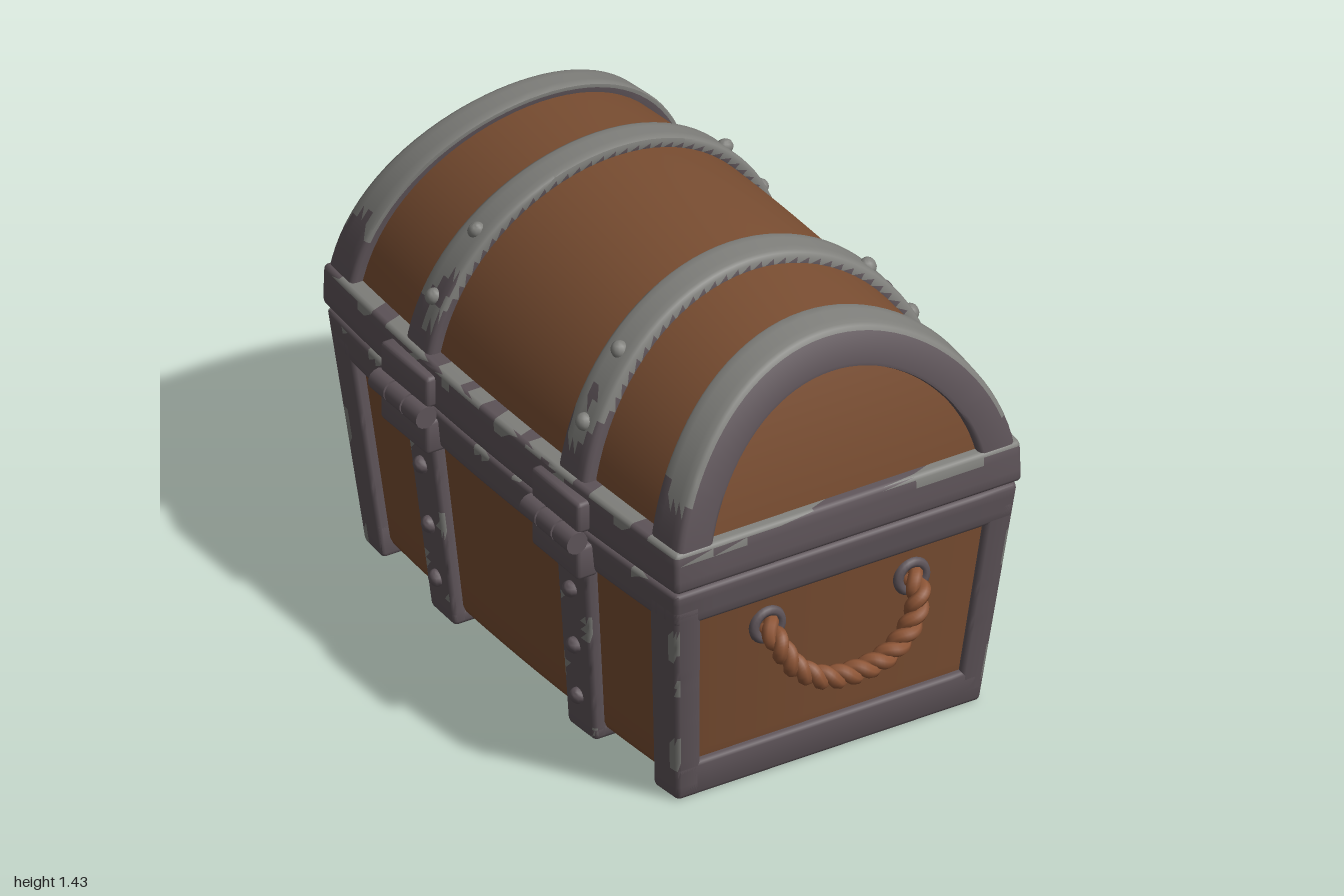
import * as THREE from 'three';
import { toCreasedNormals } from 'three/addons/utils/BufferGeometryUtils.js';

const mat = (name, color) => {
  const m = new THREE.MeshStandardMaterial({ color });
  m.name = name;
  return m;
};

const LID = 0.77, A = 0.62, B = 0.663, CX = -0.035;

// Barrel bulge along z, narrowing towards the bottom, ends leaning in at top and bottom
function warp(p) {
  const bulge = 1 - 0.07 * (p.z / 0.94) ** 2;
  const low = Math.max(0, (LID - p.y) / LID), high = Math.max(0, (p.y - LID) / 0.62);
  p.x = CX + p.x * bulge * (1 - 0.12 * low);
  p.z *= 1 - 0.106 * low - 0.122 * high * high;
  if (p.y > LID) p.y = LID + (p.y - LID) * bulge;
  return p;
}

function mapVertices(geo, fn) {
  const pos = geo.attributes.position, p = new THREE.Vector3();
  for (let i = 0; i < pos.count; i++) {
    fn(p.fromBufferAttribute(pos, i));
    pos.setXYZ(i, p.x, p.y, p.z);
  }
  return geo;
}

// Subdivided box with rounded edges
function bar(w, h, d, segs, r = 0.014) {
  const size = [w, h, d];
  return mapVertices(new THREE.BoxGeometry(w, h, d, ...segs), (p) => {
    const full = [], core = [];
    p.toArray().forEach((v, k) => {
      const n = segs[k], half = size[k] / 2, i = Math.round((v / size[k] + 0.5) * n);
      full[k] = i === 0 ? -half : i === n ? half : -(half - r) + (i - 1) / (n - 2) * (size[k] - 2 * r);
      core[k] = THREE.MathUtils.clamp(full[k], r - half, half - r);
    });
    const c = new THREE.Vector3(...core);
    p.set(...full).sub(c);
    if (p.length() > 0) p.setLength(r);
    p.add(c);
  });
}

// Bar bent over the lid
const arch = (thick, width) => mapVertices(bar(1.95, thick, width, [48, 3, 6], 0.016), (p) => {
  const t = Math.PI / 2 - p.x / 1.95 * Math.PI, inset = thick / 2 - p.y;
  p.x = (A - inset) * Math.cos(t);
  p.y = LID + (B - inset) * Math.sin(t);
});

const noise = (p) => Math.sin(p.z * 23 + p.y * 17 + p.x * 5) + Math.sin(p.z * 41 - p.y * 31 + p.x * 9);

export function createModel() {
  const wood = mat('wood', 0x7a4e32), metal = mat('dark metal', 0x5e5459);
  const worn = mat('worn metal', 0x80807c), rope = mat('rope', 0x8d5536), hole = mat('keyhole', 0x2f292c);
  const model = new THREE.Group();
  model.name = 'chest';

  function add(name, geo, material) {
    const m = new THREE.Mesh(geo, material);
    m.name = name;
    model.add(m);
    return m;
  }

  // Adds a part bent to the chest's form; isWorn picks the triangles of bare metal
  function part(name, geo, x, y, z, material, isWorn) {
    const g = geo.toNonIndexed();
    g.deleteAttribute('uv');
    g.translate(x, y, z);
    g.clearGroups();
    if (isWorn) {
      const pos = g.attributes.position, c = new THREE.Vector3(), v = new THREE.Vector3();
      let start = 0, last = -1;
      for (let i = 0; i < pos.count; i += 3) {
        c.set(0, 0, 0);
        for (let j = 0; j < 3; j++) c.add(v.fromBufferAttribute(pos, i + j));
        const k = isWorn(c.divideScalar(3)) ? 1 : 0;
        if (k !== last && last >= 0) { g.addGroup(start, i - start, last); start = i; }
        last = k;
      }
      g.addGroup(start, pos.count - start, last);
    }
    return add(name, toCreasedNormals(mapVertices(g, warp), 0.9), isWorn ? [material, worn] : material);
  }

  // Wooden box and rounded lid
  part('bodyWood', bar(1.16, 0.74, 1.81, [4, 10, 18], 0.03), 0, 0.4, 0, wood);
  const lid = mapVertices(new THREE.BoxGeometry(2, 1, 1.81, 4, 20, 20), (p) => {
    const t = (p.y + 0.5) * Math.PI / 2;
    p.x *= 0.58 * Math.cos(t);
    p.y = LID + 0.63 * Math.sin(t);
  });
  part('lidWood', lid, 0, 0, 0, wood);

  // Rims where the lid meets the body
  part('lidRim', bar(1.25, 0.14, 1.88, [12, 6, 48]), 0, 0.835, 0, metal,
    (p) => p.y > 0.87 && noise(p) > (p.y > 0.893 ? -0.5 : 1.0));
  part('bodyRim', bar(1.24, 0.12, 1.86, [12, 6, 48]), 0, 0.692, 0, metal,
    (p) => p.y > 0.725 && Math.abs(p.x) > 0.58 && noise(p) > 0.9);

  // Lid bands, bare metal along the top
  const bandWear = (p) => Math.hypot(p.x / A, (p.y - LID) / B) > 0.955 &&
    p.y > (p.x < 0 ? 1.06 : 1.0) + 0.05 * noise(p);
  const postWear = (p) => Math.abs(p.x) > 0.6 && Math.abs(p.z) > 0.885 && noise(p) > 0.5;
  for (const s of [-1, 1]) {
    part('lidEndArch', arch(0.125, 0.14), 0, 0, s * 0.865, metal, bandWear);
    part('lidBand', arch(0.055, 0.135), 0, 0, s * 0.41, metal, bandWear);

    // Frames on the body ends
    part('endBottomRail', bar(1.24, 0.12, 0.13, [12, 3, 3]), 0, 0.06, s * 0.865, metal);
    part('bottomBand', bar(1.24, 0.05, 0.155, [8, 3, 3]), 0, 0.025, s * 0.41, metal);
    for (const side of [-1, 1]) {
      part('cornerPost', bar(0.095, 0.7, 0.13, [3, 24, 6]), side * 0.5725, 0.35, s * 0.865, metal, postWear);
      part('bodyBand', bar(0.055, 0.7, 0.155, [3, 24, 6]), side * 0.5925, 0.35, s * 0.41, metal,
        (p) => Math.abs(p.x) > 0.6 && Math.abs(Math.abs(p.z) - 0.41) > 0.045 && noise(p) > 1.1);

      // Studs on the bands
      for (const y of [0.13, 0.31, 0.51, 0.68, 0.83, 1.06, 1.25]) {
        const t = Math.asin(Math.max(0, y - LID + 0.005) / B);
        const x = y < LID ? A + 0.005 : y < 0.9 ? A + 0.008 : A * Math.cos(t);
        part('stud', new THREE.SphereGeometry(0.027, 12, 8), side * x, y, s * 0.41, y > 1 ? worn : metal);
      }
    }

    // Hinges at the back
    for (const [y, h] of [[0.825, 0.1], [0.675, 0.11]]) {
      const plate = add('hingePlate', toCreasedNormals(bar(0.07, h, 0.25, [3, 3, 3], 0.012), 0.9), metal);
      plate.position.set(-0.65, y, s * 0.4);
    }
    for (const k of [-1, 0, 1]) {
      const knuckle = add('hingeKnuckle', new THREE.CylinderGeometry(0.035, 0.035, 0.08, 14), metal);
      knuckle.rotation.x = Math.PI / 2;
      knuckle.position.set(-0.688, 0.75, s * 0.4 + k * 0.087);
    }

    // Rope handle of two twisted strands
    const path = new THREE.CatmullRomCurve3([
      [-0.275, 0.54, 0.87], [-0.272, 0.5, 0.925], [-0.225, 0.41, 0.95], [-0.14, 0.35, 0.962], [-0.033, 0.333, 0.964],
      [0.075, 0.35, 0.962], [0.16, 0.41, 0.95], [0.207, 0.5, 0.925], [0.21, 0.54, 0.87],
    ].map(([x, y, z]) => new THREE.Vector3(x, y, s * z)));
    const n = 110, frames = path.computeFrenetFrames(n);
    for (const phase of [0, Math.PI]) {
      const pts = [];
      for (let i = 0; i <= n; i++) {
        const a = phase + i / n * Math.PI * 14;
        pts.push(path.getPointAt(i / n)
          .addScaledVector(frames.normals[i], 0.015 * Math.cos(a))
          .addScaledVector(frames.binormals[i], 0.015 * Math.sin(a)));
      }
      add('ropeStrand', new THREE.TubeGeometry(new THREE.CatmullRomCurve3(pts), 160, 0.022, 8), rope);
    }
    for (const x of [-0.275, 0.21]) {
      add('ropeEyelet', new THREE.TorusGeometry(0.045, 0.016, 8, 24), metal).position.set(x, 0.53, s * 0.883);
    }
  }

  // Hasp plate
  const block = (name, w, h, d, x, y) =>
    add(name, toCreasedNormals(bar(w, h, d, [3, 3, 3], 0.012), 0.9), metal).position.set(x, y, 0);
  block('haspPlate', 0.1, 0.17, 0.245, 0.575, 0.845);
  block('haspTongue', 0.075, 0.14, 0.17, 0.575, 0.74);

  // Staple and padlock shackle
  const staple = add('staple', new THREE.TorusGeometry(0.05, 0.022, 10, 24), metal);
  staple.position.set(0.645, 0.83, 0);
  staple.scale.y = 1.15;
  const arc = [[-0.068, 0.67], [-0.068, 0.75], [-0.048, 0.8], [0, 0.822], [0.048, 0.8], [0.068, 0.75], [0.068, 0.67]];
  add('shackle', new THREE.TubeGeometry(new THREE.CatmullRomCurve3(
    arc.map(([z, y]) => new THREE.Vector3(0.655, y, z))), 32, 0.021, 10), metal);

  // Padlock body and keyhole, drawn face-on and turned to +x
  const shape = new THREE.Shape();
  shape.moveTo(-0.1, 0.68);
  shape.lineTo(0.1, 0.68);
  shape.quadraticCurveTo(0.122, 0.675, 0.12, 0.64);
  shape.bezierCurveTo(0.125, 0.55, 0.09, 0.475, 0, 0.475);
  shape.bezierCurveTo(-0.09, 0.475, -0.125, 0.55, -0.12, 0.64);
  shape.quadraticCurveTo(-0.122, 0.675, -0.1, 0.68);
  const lock = new THREE.ExtrudeGeometry(shape, {
    depth: 0.07, bevelSize: 0.012, bevelThickness: 0.015, bevelSegments: 3, curveSegments: 10 });
  lock.rotateY(Math.PI / 2).translate(0.615, 0, 0);
  add('padlock', toCreasedNormals(lock, 0.7), metal);

  const key = new THREE.Shape();
  key.moveTo(-0.028, 0.525);
  key.lineTo(0.028, 0.525);
  key.lineTo(0.013, 0.585);
  key.absarc(0, 0.605, 0.024, -0.9, Math.PI + 0.9, false);
  key.lineTo(-0.013, 0.585);
  const keyhole = new THREE.ExtrudeGeometry(key, { depth: 0.004, bevelEnabled: false });
  keyhole.rotateY(Math.PI / 2).translate(0.699, 0, 0);
  add('keyhole', keyhole, hole);

  return model;
}
